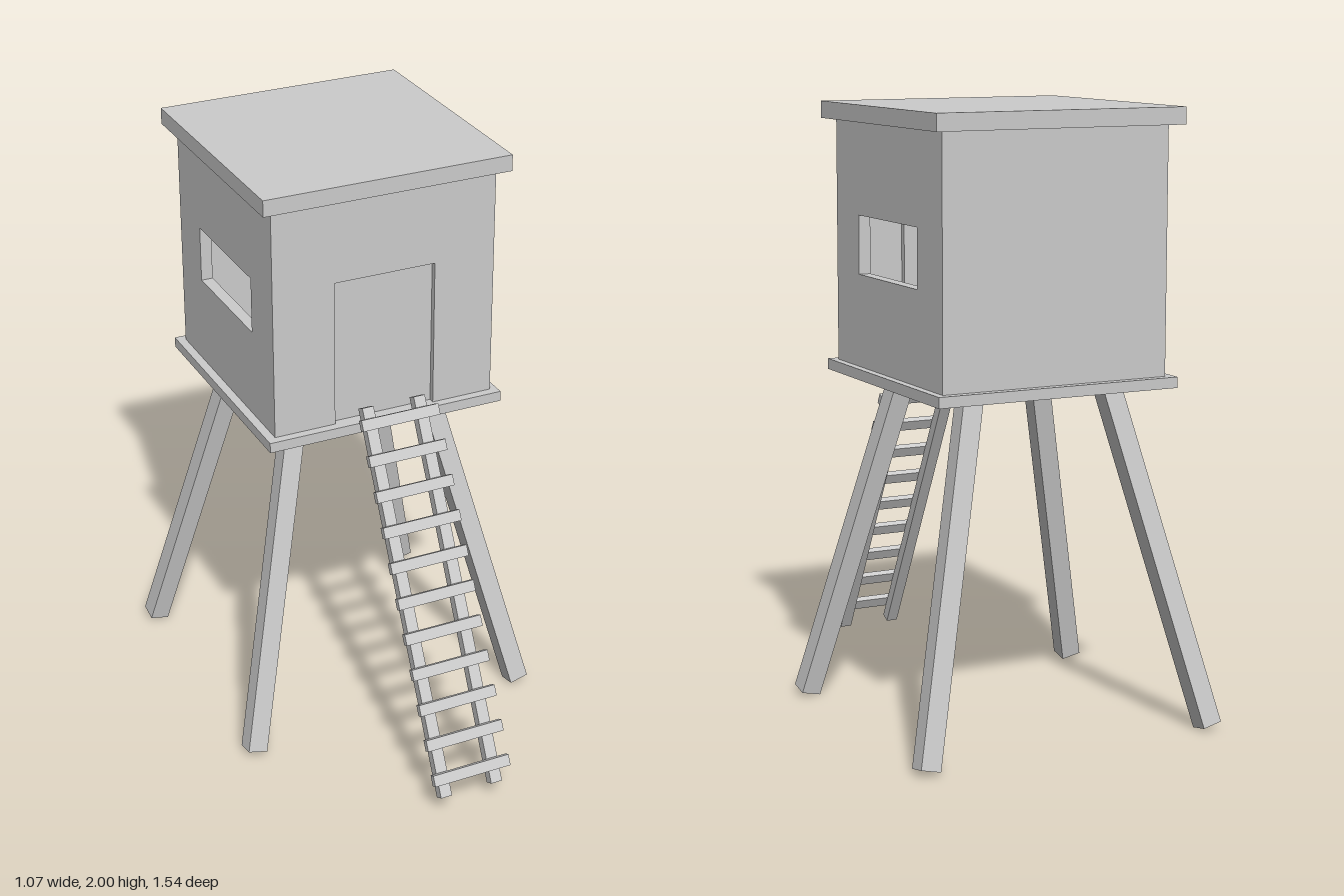
import * as THREE from 'three';

const grey = new THREE.MeshStandardMaterial({ color: 0xcccccc, flatShading: true });

function add(parent, name, geometry, x = 0, y = 0, z = 0) {
  const mesh = new THREE.Mesh(geometry, grey);
  mesh.name = name;
  mesh.position.set(x, y, z);
  parent.add(mesh);
  return mesh;
}

// Box given by its limits on each axis
function slab(parent, name, [x0, x1], [y0, y1], [z0, z1]) {
  const geometry = new THREE.BoxGeometry(x1 - x0, y1 - y0, z1 - z0);
  return add(parent, name, geometry, (x0 + x1) / 2, (y0 + y1) / 2, (z0 + z1) / 2);
}

const points = (list) => list.map(([x, y]) => new THREE.Vector2(x, y));

// Hut limits
const X0 = -0.37, X1 = 0.41, Y0 = 1.153, Y1 = 1.945, Z0 = -0.66, Z1 = 0.12, WALL = 0.04;

function createHut() {
  const hut = new THREE.Group();
  hut.name = 'hut';
  slab(hut, 'floor', [-0.4, 0.435], [1.12, 1.155], [-0.687, 0.15]);
  slab(hut, 'roof', [-0.41, 0.447], [Y1, 2], [-0.698, 0.158]);
  slab(hut, 'backWall', [X0 + WALL, X1 - WALL], [Y0, Y1], [Z0, Z0 + WALL]);

  // Side walls with window openings, drawn in (-z, y) and turned to face x
  const side = new THREE.Shape(points([[-Z1, Y0], [-Z0, Y0], [-Z0, Y1], [-Z1, Y1]]));
  side.holes.push(new THREE.Path(points([[0.053, 1.455], [0.053, 1.645], [0.485, 1.645], [0.485, 1.455]])));
  const sideGeometry = new THREE.ExtrudeGeometry(side, { depth: WALL, bevelEnabled: false });
  sideGeometry.rotateY(Math.PI / 2);
  add(hut, 'leftWall', sideGeometry, X1 - WALL);
  add(hut, 'rightWall', sideGeometry, X0);

  // Front wall with a doorway notch
  const front = new THREE.Shape(points([
    [X0 + WALL, Y0], [-0.157, Y0], [-0.157, 1.658], [0.197, 1.658],
    [0.197, Y0], [X1 - WALL, Y0], [X1 - WALL, Y1], [X0 + WALL, Y1],
  ]));
  const frontGeometry = new THREE.ExtrudeGeometry(front, { depth: WALL, bevelEnabled: false });
  add(hut, 'frontWall', frontGeometry, 0, 0, Z1 - WALL);

  // Door set back from the wall face
  slab(hut, 'door', [-0.157, 0.197], [Y0, 1.658], [0.06, 0.1]);
  return hut;
}

// Four splayed square legs
function createLegs() {
  const legs = new THREE.Group();
  legs.name = 'legs';
  const centreZ = -0.269;
  const bottom = new THREE.Vector3(0.503, 0.016, 0.466);
  const top = new THREE.Vector3(0.239, 1.136, 0.238);
  const middle = bottom.clone().add(top).multiplyScalar(0.5);
  const run = top.clone().sub(bottom);
  const geometry = new THREE.BoxGeometry(0.067, run.length(), 0.067);
  const tiltX = Math.atan2(run.z, run.y);
  const tiltZ = Math.asin(-run.x / run.length());
  for (const sx of [-1, 1]) {
    for (const sz of [-1, 1]) {
      const name = (sz > 0 ? 'front' : 'back') + (sx > 0 ? 'Left' : 'Right') + 'Leg';
      const leg = add(legs, name, geometry, sx * middle.x, middle.y, centreZ + sz * middle.z);
      leg.rotation.set(sz * tiltX, 0, sx * tiltZ);
    }
  }
  return legs;
}

// Leaning ladder: two rails with flat rungs on the outer face
function createLadder() {
  const ladder = new THREE.Group();
  ladder.name = 'ladder';
  const length = 1.3, rungs = 11;
  const railGeometry = new THREE.BoxGeometry(0.04, length, 0.035);
  add(ladder, 'leftRail', railGeometry, 0.12);
  add(ladder, 'rightRail', railGeometry, -0.065);
  const rungGeometry = new THREE.BoxGeometry(0.277, 0.037, 0.022);
  for (let i = 0; i < rungs; i++) {
    add(ladder, 'rung', rungGeometry, 0.033, length / 2 - 0.055 - i * 0.118, 0.0285);
  }
  ladder.position.set(0, 0.637, 0.458);
  ladder.rotation.x = -0.4805;
  return ladder;
}

export function createModel() {
  const model = new THREE.Group();
  model.name = 'watchHut';
  model.add(createHut(), createLegs(), createLadder());
  return model;
}
